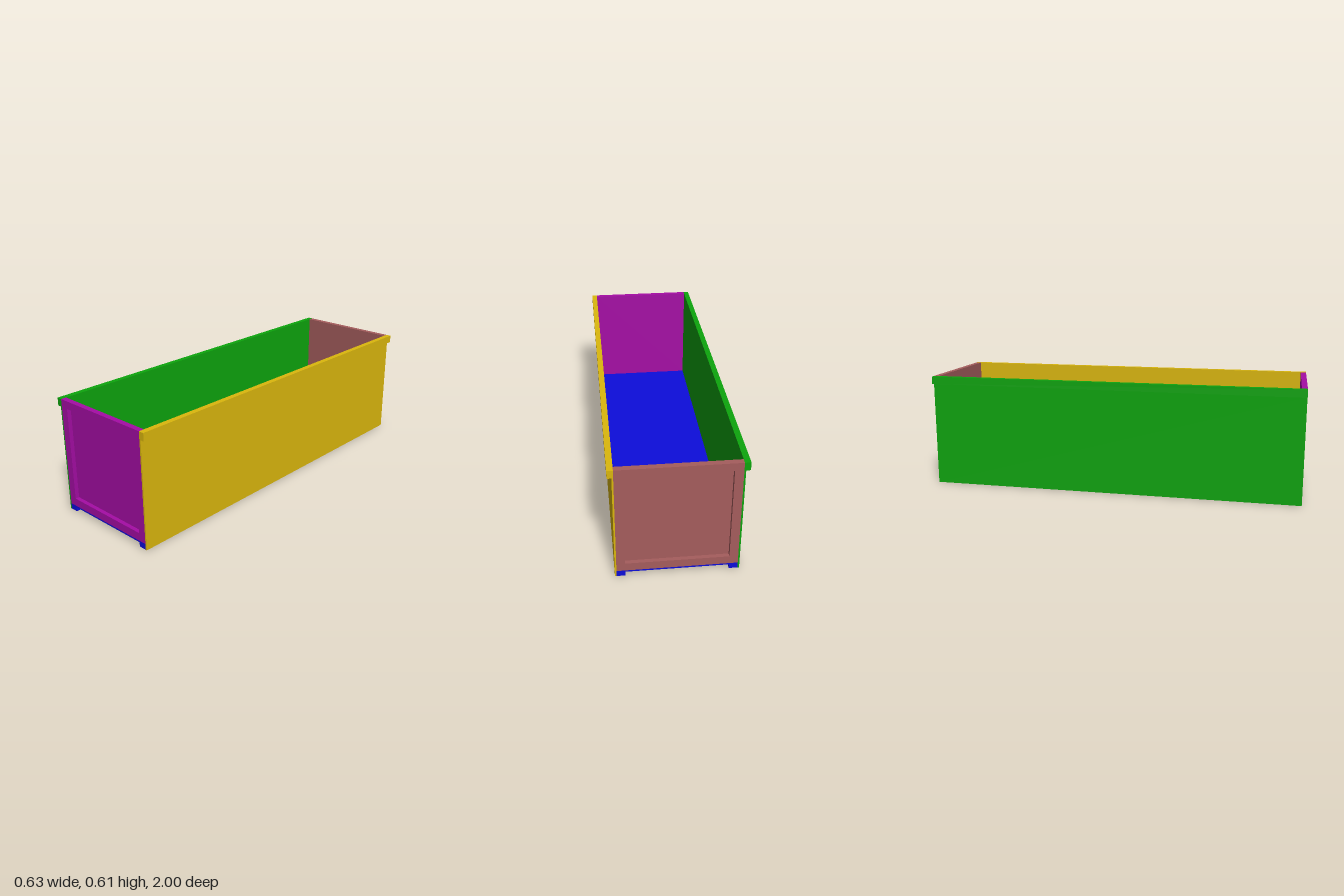
import * as THREE from 'three';

const LENGTH = 2;
const INNER = 0.288; // half width between the side walls
const TOP = 0.605;

function extrude(points, depth, z, hole) {
  const shape = new THREE.Shape(points.map(([x, y]) => new THREE.Vector2(x, y)));
  if (hole) shape.holes.push(new THREE.Path(hole.map(([x, y]) => new THREE.Vector2(x, y))));
  return new THREE.ExtrudeGeometry(shape, { depth, bevelEnabled: false }).translate(0, 0, z);
}

const rect = (x0, x1, y0, y1) => [[x0, y0], [x1, y0], [x1, y1], [x0, y1]];

function addMesh(parent, name, geometry, color) {
  const mesh = new THREE.Mesh(geometry, new THREE.MeshStandardMaterial({ color }));
  mesh.name = name;
  parent.add(mesh);
}

export function createModel() {
  const model = new THREE.Group();
  model.name = 'trough';

  // Floor: thin sheet on two rails, one channel profile along z
  const floor = [
    [-INNER, 0], [-0.246, 0], [-0.246, 0.023], [0.246, 0.023],
    [0.246, 0], [INNER, 0], [INNER, 0.031], [-INNER, 0.031],
  ];
  addMesh(model, 'floor', extrude(floor, LENGTH, -LENGTH / 2), 0x0d0ddb);

  // Side walls: thin sheet with a thicker outward rim at the top
  const wall = [
    [INNER, 0], [0.296, 0], [0.296, 0.564], [0.317, 0.564], [0.317, TOP], [INNER, TOP],
  ];
  for (const [name, side, color] of [['leftWall', 1, 0xdbb70d], ['rightWall', -1, 0x0da50d]]) {
    const profile = wall.map(([x, y]) => [x * side, y]);
    addMesh(model, name, extrude(profile, LENGTH, -LENGTH / 2), color);
  }

  // End walls: raised outer frame around a recessed thin panel
  for (const [name, turn, color] of [['frontWall', 0, 0xa50da5], ['backWall', Math.PI, 0xa55d5d]]) {
    const end = new THREE.Group();
    end.name = name;
    end.rotation.y = turn;
    const outer = rect(-INNER, INNER, 0.031, TOP);
    const opening = rect(-0.246, 0.246, 0.073, 0.564);
    addMesh(end, name + 'Panel', extrude(outer, 0.008, 0.971), color);
    addMesh(end, name + 'Frame', extrude(outer, 0.021, 0.979, opening), color);
    model.add(end);
  }

  return model;
}
